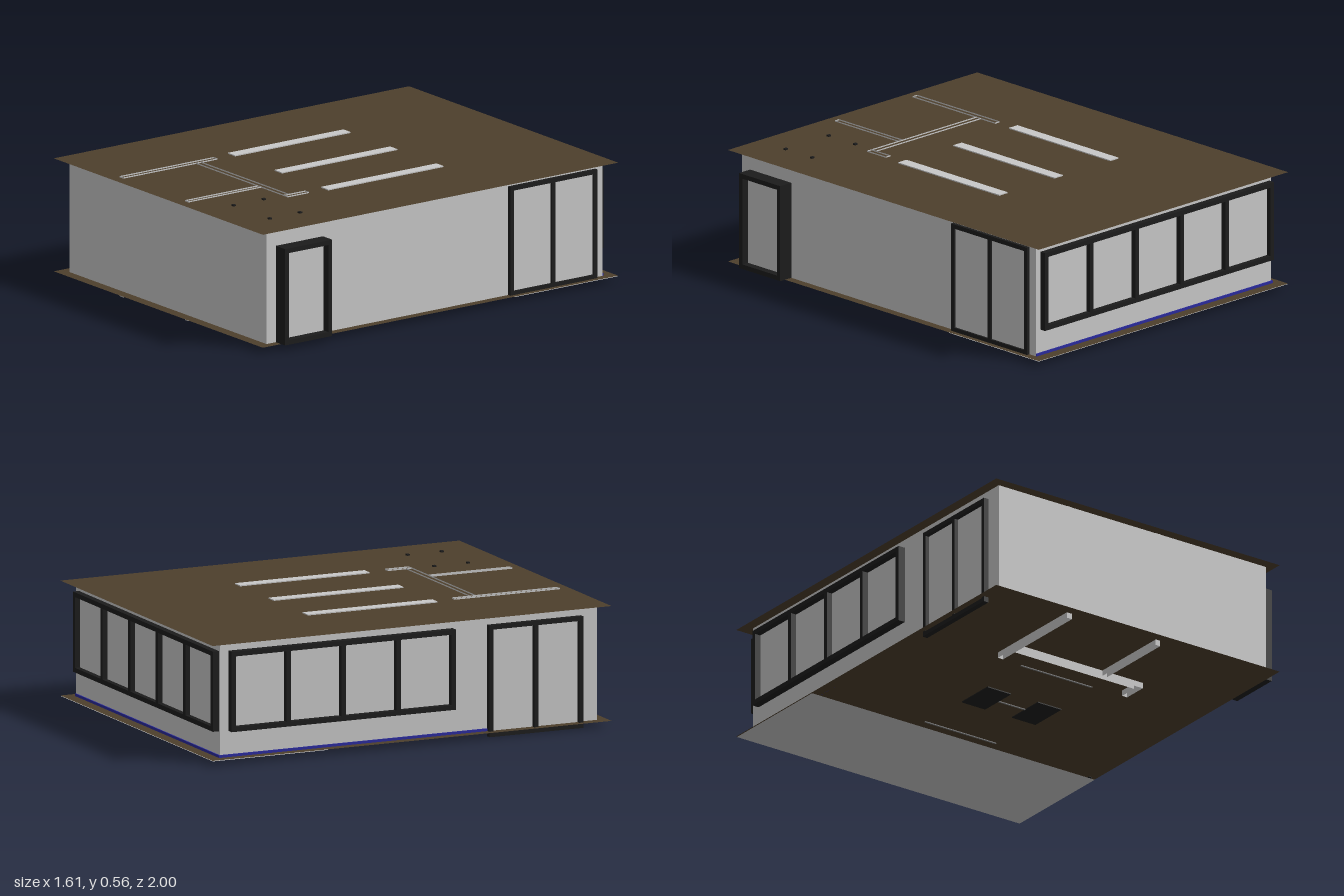
import * as THREE from 'three';

const mat = (name, color, side = THREE.FrontSide) => {
  const m = new THREE.MeshStandardMaterial({ color, side });
  m.name = name;
  return m;
};

export function createModel() {
  const brown = mat('brown board', 0x4d3f2c, THREE.DoubleSide);
  const grey = mat('pale grey', 0xc8c8c8, THREE.DoubleSide);
  const black = mat('black frame', 0x1c1c1c);
  const steel = mat('mid grey', 0x777777);
  const blue = mat('blue trim', 0x2a2a9c);
  const model = new THREE.Group();
  model.name = 'building';

  // Box given by its limits on each axis
  const box = (name, m, x0, x1, y0, y1, z0, z1, parent = model) => {
    const mesh = new THREE.Mesh(new THREE.BoxGeometry(x1 - x0, y1 - y0, z1 - z0), m);
    mesh.position.set((x0 + x1) / 2, (y0 + y1) / 2, (z0 + z1) / 2);
    mesh.name = name;
    parent.add(mesh);
    return mesh;
  };
  // Horizontal sheet
  const sheet = (name, m, x0, x1, y, z0, z1) => {
    const mesh = new THREE.Mesh(new THREE.PlaneGeometry(x1 - x0, z1 - z0).rotateX(-Math.PI / 2), m);
    mesh.position.set((x0 + x1) / 2, y, (z0 + z1) / 2);
    mesh.name = name;
    model.add(mesh);
  };
  // Upright faces around a rectangle, without caps
  const wallRing = (name, x0, x1, y0, y1, z0, z1) => {
    const group = new THREE.Group();
    group.name = name;
    const cx = (x0 + x1) / 2, cz = (z0 + z1) / 2;
    const sides = [
      [x1 - x0, cx, z1, 0], [z1 - z0, x1, cz, Math.PI / 2],
      [x1 - x0, cx, z0, Math.PI], [z1 - z0, x0, cz, -Math.PI / 2],
    ];
    for (const [w, x, z, turn] of sides) {
      const mesh = new THREE.Mesh(new THREE.PlaneGeometry(w, y1 - y0), grey);
      mesh.position.set(x, (y0 + y1) / 2, z);
      mesh.rotation.y = turn;
      mesh.name = 'wallFace';
      group.add(mesh);
    }
    model.add(group);
  };
  // Frame with rails and evenly spaced posts, built facing +z with its left edge at -w/2
  const frame = (name, w, h, depth, panes, bar, paneDepth) => {
    const group = new THREE.Group();
    group.name = name;
    box('bottomRail', black, -w / 2, w / 2, 0, bar, 0, depth, group);
    box('topRail', black, -w / 2, w / 2, h - bar, h, 0, depth, group);
    for (let i = 0; i <= panes; i++) {
      const x = -w / 2 + bar / 2 + (i * (w - bar)) / panes;
      box('post', black, x - bar / 2, x + bar / 2, bar, h - bar, 0, depth, group);
    }
    box('pane', grey, -w / 2 + bar / 2, w / 2 - bar / 2, bar / 2, h - bar / 2, paneDepth - 0.004, paneDepth, group);
    model.add(group);
    return group;
  };
  const place = (group, x, y, z, turn) => {
    group.position.set(x, y, z);
    group.rotation.y = turn;
  };

  // Roof, floor and outer walls
  sheet('roof', brown, -0.81, 0.77, 0.56, -1, 1);
  sheet('floor', brown, -0.81, 0.77, 0.03, -1, 1);
  sheet('rearFloorPanel', grey, -0.808, 0.768, 0.027, -0.998, -0.42);
  wallRing('outerWalls', -0.76, 0.73, 0.03, 0.559, -0.94, 0.95);

  // Partitions run slightly through roof and floor
  const partitions = [
    [-0.38, -0.352, 0.42, 0.95], [0.312, 0.34, 0.42, 0.54],
    [-0.352, 0.312, 0.512, 0.54], [0.115, 0.14, 0.54, 0.95],
  ];
  for (const [x0, x1, z0, z1] of partitions) wallRing('partition', x0, x1, 0.003, 0.566, z0, z1);

  // Windows and doors
  place(frame('backWindows', 1.45, 0.37, 0.03, 5, 0.022, 0.006), -0.025, 0.15, -0.94, Math.PI);
  place(frame('rightWindows', 1.125, 0.37, 0.035, 4, 0.022, 0.006), -0.76, 0.15, -0.335, -Math.PI / 2);
  place(frame('rightDoors', 0.47, 0.515, 0.025, 2, 0.02, 0.006), -0.76, 0.005, 0.635, -Math.PI / 2);
  place(frame('leftDoors', 0.49, 0.512, 0.016, 2, 0.02, 0.006), 0.73, 0.028, -0.655, Math.PI / 2);
  place(frame('entranceDoor', 0.265, 0.452, 0.07, 1, 0.022, 0.035), 0.73, 0.03, 0.765, Math.PI / 2);

  // Blue trim at the foot of the back and right walls
  box('backTrim', blue, -0.765, 0.73, 0.03, 0.042, -0.946, -0.94);
  box('sideTrim', blue, -0.766, -0.76, 0.03, 0.042, -0.946, 0.4);

  // Ceiling lights and table feet showing above the roof
  for (const x of [-0.373, -0.02, 0.33]) box('lightStrip', grey, x - 0.027, x + 0.027, 0.55, 0.565, -0.325, 0.325);
  for (const x of [0.307, 0.58]) {
    for (const z of [0.65, 0.82]) box('tableFoot', black, x - 0.008, x + 0.008, 0.55, 0.567, z - 0.007, z + 0.007);
  }

  // Panels and rods under the floor
  for (const x of [-0.14, 0.14]) box('underPanel', black, x - 0.065, x + 0.065, 0.025, 0.032, -0.1, 0.1);
  box('linkRod', steel, -0.075, 0.075, 0.026, 0.032, -0.004, 0.004);
  for (const z of [-0.37, 0.37]) box('underRod', steel, -0.215, 0.18, 0.026, 0.032, z - 0.004, z + 0.004);

  return model;
}
